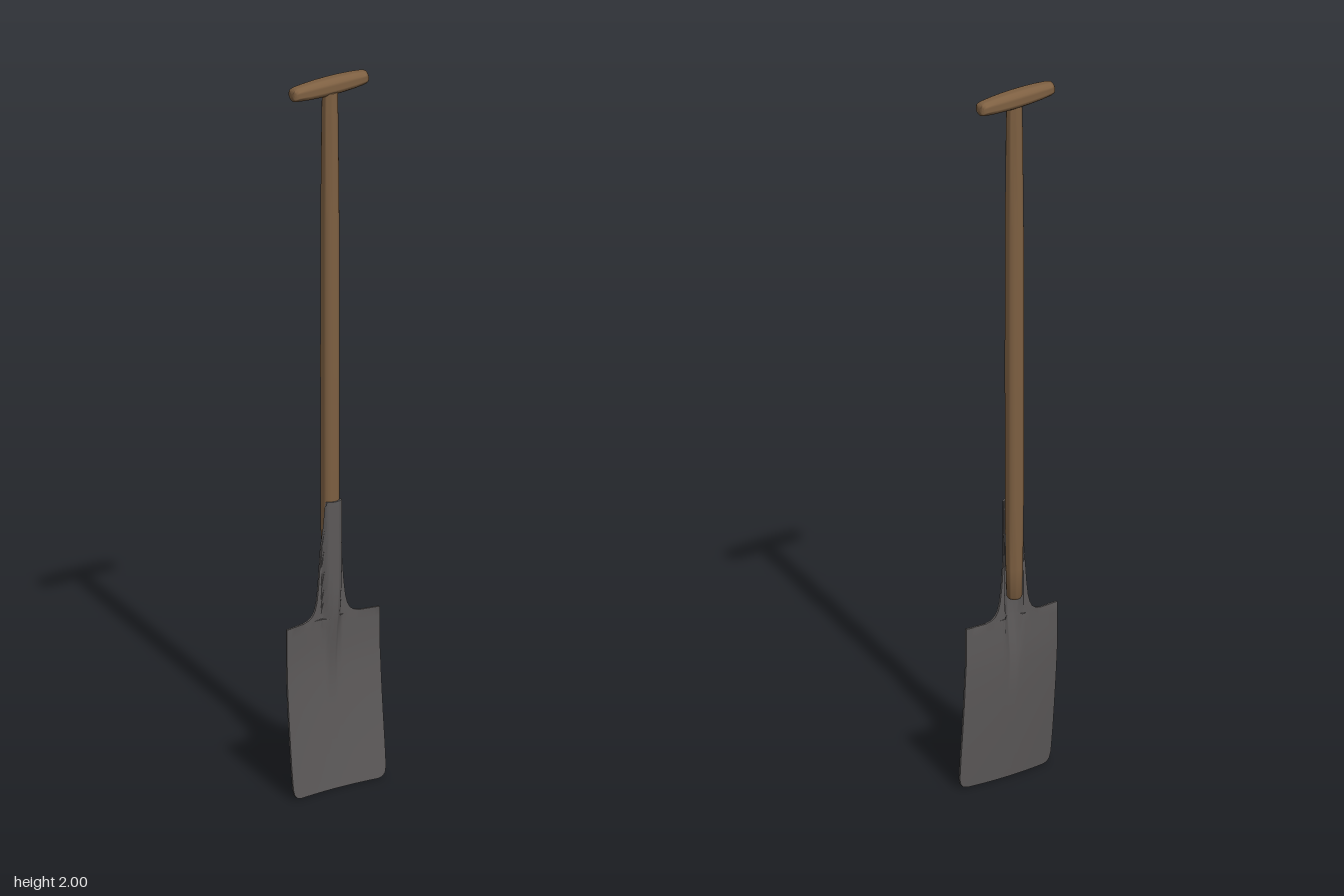
import * as THREE from 'three';
import { toCreasedNormals } from 'three/addons/utils/BufferGeometryUtils.js';

const { smoothstep, lerp } = THREE.MathUtils;
const THICKNESS = 0.006;

// Height and half width of the blade, from cutting edge to top of the socket
const OUTLINE = [
  [0.005, 0.125], [0.009, 0.138], [0.018, 0.146], [0.035, 0.15], [0.1, 0.151],
  [0.17, 0.151], [0.24, 0.151], [0.29, 0.151], [0.34, 0.151], [0.38, 0.15],
  [0.42, 0.15], [0.45, 0.15], [0.477, 0.15], [0.479, 0.09], [0.484, 0.072],
  [0.493, 0.06], [0.507, 0.052], [0.53, 0.046], [0.57, 0.041], [0.62, 0.037],
  [0.68, 0.032], [0.74, 0.028], [0.79, 0.026], [0.81, 0.024],
];

// Front face of the sheet: forward lean, shallow dish and a raised central socket
function sheetZ(x, y) {
  const lean = 0.032 * Math.pow(Math.max(0, (0.38 - y) / 0.38), 1.3);
  const dish = 0.011 * (x / 0.15) ** 2;
  const rise = smoothstep(y, 0.26, 0.56);
  const width = lerp(0.02, 0.03, smoothstep(y, 0.28, 0.5));
  const power = lerp(1.5, 0.5, smoothstep(y, 0.4, 0.6));
  const bump = Math.pow(Math.max(0, 1 - (x / width) ** 2), power);
  return -0.005 + lean + dish + 0.024 * rise * bump;
}

function bladeGeometry() {
  const cols = 33, ring = cols * 2;
  const pos = [], index = [];
  for (const [y, w] of OUTLINE) {
    const xs = Array.from({ length: cols }, (_, j) => {
      const u = (2 * j) / (cols - 1) - 1;
      return w * Math.sign(u) * Math.pow(Math.abs(u), lerp(1, 1.7, smoothstep(w, 0.03, 0.1)));
    });
    xs.forEach((x) => pos.push(x, y, sheetZ(x, y)));
    xs.reverse().forEach((x) => pos.push(x, y, sheetZ(x, y) - THICKNESS));
  }
  // Front, back and side edges
  const rows = OUTLINE.length;
  for (let i = 0; i < rows - 1; i++) {
    for (let j = 0; j < ring; j++) {
      const a = i * ring + j, b = i * ring + ((j + 1) % ring);
      index.push(a, b, b + ring, a, b + ring, a + ring);
    }
  }
  // Bottom and top edges
  const top = (rows - 1) * ring;
  for (let j = 0; j < cols - 1; j++) {
    const f = j, f1 = j + 1, b = ring - 1 - j, b1 = ring - 2 - j;
    index.push(f, b, b1, f, b1, f1);
    index.push(top + f, top + b1, top + b, top + f, top + f1, top + b1);
  }
  const geo = new THREE.BufferGeometry();
  geo.setAttribute('position', new THREE.Float32BufferAttribute(pos, 3));
  geo.setIndex(index);
  return toCreasedNormals(geo, 0.7);
}

// Round wooden part from [radius, height] pairs
function turned(profile, sides) {
  const geo = new THREE.LatheGeometry(profile.map(([r, y]) => new THREE.Vector2(r, y)), sides);
  return toCreasedNormals(geo, 0.8);
}

export function createModel() {
  const wood = new THREE.MeshStandardMaterial({ color: 0x7e6042 });
  wood.name = 'wood';
  const steel = new THREE.MeshStandardMaterial({ color: 0x5d5a5a });
  steel.name = 'steel';

  const model = new THREE.Group();
  model.name = 'spade';
  const add = (name, geo, mat) => {
    const mesh = new THREE.Mesh(geo, mat);
    mesh.name = name;
    model.add(mesh);
    return mesh;
  };

  add('blade', bladeGeometry(), steel);

  // Straight shaft, slightly thinner at both ends
  const shaft = add('shaft', turned([
    [0, 0.533], [0.017, 0.533], [0.021, 0.54], [0.023, 0.62], [0.025, 0.8],
    [0.0255, 1.2], [0.025, 1.6], [0.0225, 1.88], [0.021, 1.96], [0, 1.965],
  ], 24), wood);
  shaft.position.z = -0.0105;

  // Barrel-shaped cross grip
  const grip = add('grip', turned([
    [0, -0.12], [0.014, -0.12], [0.018, -0.117], [0.0205, -0.108], [0.0235, -0.075],
    [0.0255, -0.035], [0.026, 0], [0.0255, 0.035], [0.0235, 0.075],
    [0.0205, 0.108], [0.018, 0.117], [0.014, 0.12], [0, 0.12],
  ], 24), wood);
  grip.rotation.z = Math.PI / 2;
  grip.position.set(0, 1.974, -0.0155);

  return model;
}
